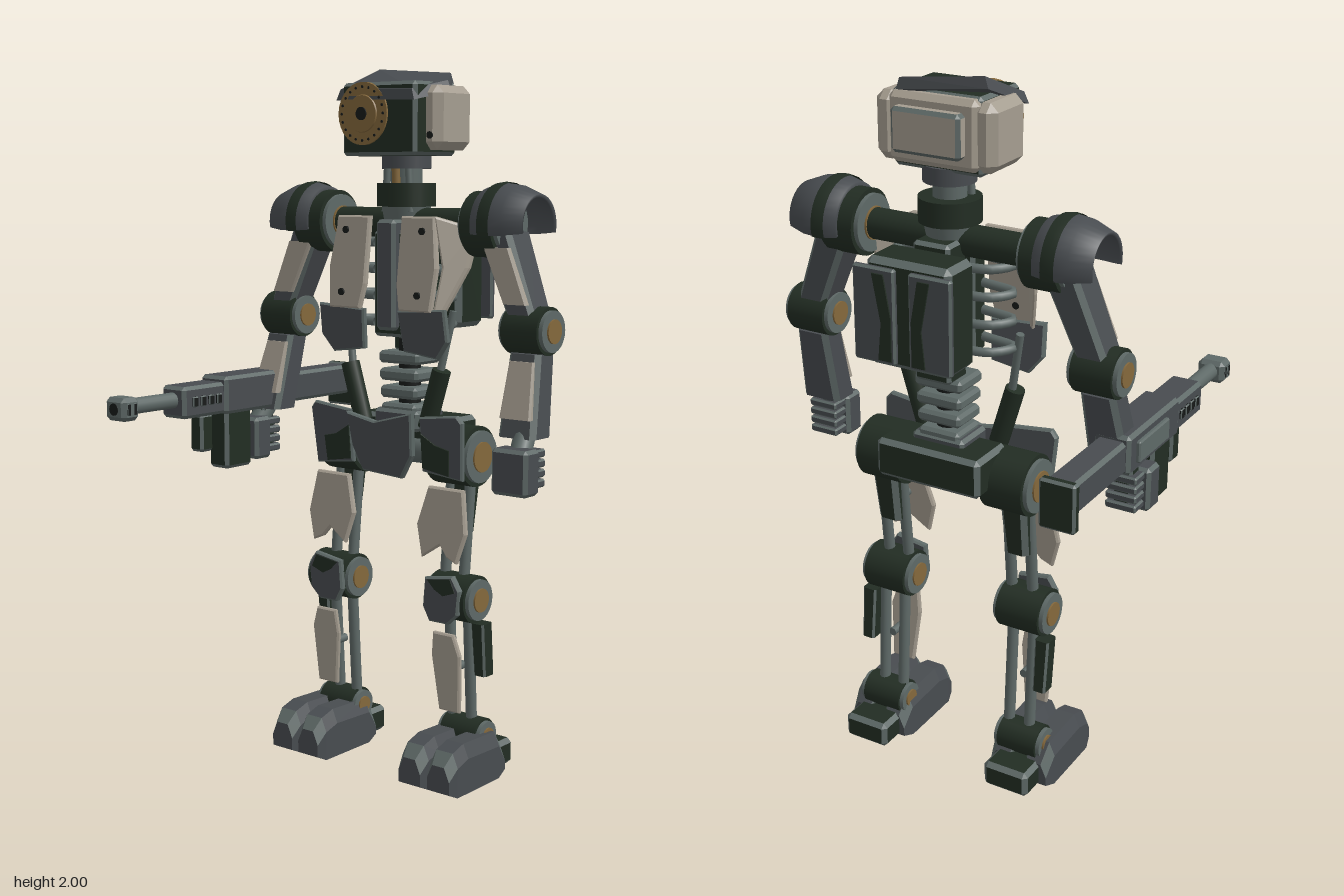
import * as THREE from 'three';
import { ConvexGeometry } from 'three/addons/geometries/ConvexGeometry.js';

const paint = (name, color) => {
  const m = new THREE.MeshStandardMaterial({ color, side: THREE.DoubleSide });
  m.name = name;
  return m;
};
const cream = paint('cream armour', 0xa59d90);
const gray = paint('slate armour', 0x484c50);
const green = paint('dark green', 0x222d23);
const steel = paint('edge steel', 0x5e6967);
const bronze = paint('bronze', 0x84683c);
const black = paint('black', 0x171a19);

export function createModel() {
  const model = new THREE.Group();
  const V = (p) => new THREE.Vector3(...p);

  function add(name, geo, mat, pos = [0, 0, 0], parent = model) {
    const m = new THREE.Mesh(geo, mat);
    m.name = name;
    m.position.set(...pos);
    parent.add(m);
    return m;
  }
  // Convex solid whose oblique chamfers take the trim colour
  function hull(name, pts, mat, trim = steel) {
    const p = new ConvexGeometry(pts).getAttribute('position');
    const main = [], edge = [], t = new THREE.Triangle(), n = new THREE.Vector3();
    for (let i = 0; i < p.count; i += 3) {
      t.setFromAttributeAndIndices(p, i, i + 1, i + 2).getNormal(n);
      const flat = Math.max(Math.abs(n.x), Math.abs(n.y), Math.abs(n.z)) > 0.77;
      for (const v of [t.a, t.b, t.c]) (flat ? main : edge).push(v.x, v.y, v.z);
    }
    const g = new THREE.BufferGeometry();
    g.setAttribute('position', new THREE.Float32BufferAttribute([...main, ...edge], 3));
    g.computeVertexNormals();
    g.addGroup(0, main.length / 3, 0);
    g.addGroup(main.length / 3, edge.length / 3, 1);
    return add(name, g, [mat, trim]);
  }
  // Chamfered box from x, y and z ranges
  function box(name, xr, yr, zr, mat, trim = steel, b = 0.01) {
    const c = [xr, yr, zr].map((r) => (r[0] + r[1]) / 2);
    const h = [xr, yr, zr].map((r) => Math.abs(r[1] - r[0]) / 2);
    const pts = [];
    for (let k = 0; k < 3; k++)
      for (const i of [-1, 1]) for (const j of [-1, 1]) for (const l of [-1, 1])
        pts.push(V([i, j, l].map((s, a) => c[a] + s * (h[a] - (a === k ? 0 : b)))));
    return hull(name, pts, mat, trim);
  }
  // Tapered limb between two points; sizes are half width and half depth
  function limb(name, a, b, wa, wb, mat, trim = steel, c = 0.014) {
    const pts = [];
    for (const [p, [w, d]] of [[a, wa], [b, wb]])
      for (const i of [-1, 1]) for (const k of [-1, 1])
        pts.push(V([p[0] + i * w, p[1], p[2] + k * (d - c)]), V([p[0] + i * (w - c), p[1], p[2] + k * d]));
    return hull(name, pts, mat, trim);
  }
  function rod(name, a, b, r, mat, r2 = r, sides = 16) {
    const p = V(a), q = V(b), d = q.clone().sub(p);
    const m = add(name, new THREE.CylinderGeometry(r2, r, d.length(), sides), mat, p.clone().add(q).multiplyScalar(0.5).toArray());
    m.quaternion.setFromUnitVectors(new THREE.Vector3(0, 1, 0), d.normalize());
    return m;
  }
  // Armour plate from a front outline, its front at z, sloped by dz(x, y)
  function plate(name, outline, z, depth, mat, dz = () => 0, trim = steel) {
    const b = Math.min(0.005, depth / 4);
    const g = new THREE.ExtrudeGeometry(new THREE.Shape(outline.map((p) => new THREE.Vector2(...p))),
      { depth: depth - 2 * b, bevelThickness: b, bevelSize: b, bevelOffset: -b, bevelSegments: 1 });
    const p = g.getAttribute('position');
    for (let i = 0; i < p.count; i++) p.setZ(i, p.getZ(i) + z - depth + b + dz(p.getX(i), p.getY(i)));
    g.computeVertexNormals();
    return add(name, g, [mat, trim]);
  }
  // Joint drum along x with steel rims and bronze caps
  function joint(name, x0, x1, y, z, r) {
    const [a, b] = [Math.min(x0, x1), Math.max(x0, x1)];
    rod(name, [a + 0.012, y, z], [b - 0.012, y, z], r, green, r, 28);
    rod(name + 'Rims', [a, y, z], [b, y, z], r * 0.86, steel, r * 0.86, 28);
    rod(name + 'Caps', [a - 0.005, y, z], [b + 0.005, y, z], r * 0.5, bronze, r * 0.5, 24);
  }

  // Head
  box('skull', [-0.13, 0.13], [1.755, 1.955], [-0.26, -0.07], green);
  for (const s of [-1, 1]) {
    box('cheekPanel', [s * 0.11, s * 0.175], [1.77, 1.945], [-0.28, -0.115], cream, cream, 0.022);
    rod('cheekBolt', [s * 0.145, 1.81, -0.13], [s * 0.145, 1.81, -0.112], 0.01, black);
  }
  box('skullRear', [-0.13, 0.13], [1.77, 1.95], [-0.285, -0.2], cream, cream, 0.015);
  box('rearPanel', [-0.1, 0.1], [1.805, 1.92], [-0.32, -0.28], cream);
  rod('eyeRim', [-0.05, 1.87, -0.1], [-0.05, 1.87, -0.064], 0.086, bronze, 0.086, 28);
  rod('eyeIris', [-0.05, 1.87, -0.07], [-0.05, 1.87, -0.06], 0.055, bronze, 0.05, 28);
  rod('eyePupil', [-0.05, 1.87, -0.07], [-0.05, 1.87, -0.056], 0.018, black);
  for (let i = 0; i < 20; i++) {
    const a = (i / 20) * Math.PI * 2;
    const [x, y] = [-0.05 + 0.073 * Math.cos(a), 1.87 + 0.073 * Math.sin(a)];
    rod('eyeNotch', [x, y, -0.066], [x, y, -0.062], 0.004, black, 0.004, 6);
  }
  // Brow visor, sloping down to the front and rolled to one side
  const brow = [[-0.165, -0.09, 1.925], [-0.1, -0.063, 1.925], [0.13, -0.063, 1.918], [0.155, -0.2, 1.945], [0.1, -0.285, 1.97], [-0.13, -0.23, 1.985]];
  hull('browVisor', brow.flatMap(([x, z, y]) => [V([x, y - 0.015, z]), V([x * 0.92, y + 0.015, z * 0.97 - 0.005])]), gray, gray);

  // Neck
  rod('neckPost', [0, 1.55, -0.2], [0, 1.77, -0.2], 0.045, steel);
  rod('neckCable', [0, 1.6, -0.155], [0, 1.77, -0.15], 0.012, bronze);
  rod('neckCap', [0, 1.72, -0.2], [0, 1.765, -0.2], 0.07, gray, 0.07, 24);
  rod('neckCollar', [0, 1.615, -0.2], [0, 1.68, -0.2], 0.083, green, 0.083, 28);
  rod('neckBase', [0, 1.57, -0.2], [0, 1.615, -0.2], 0.062, steel, 0.07, 24);
  for (const s of [-1, 1]) rod('neckRod', [s * 0.045, 1.6, -0.16], [s * 0.035, 1.76, -0.16], 0.01, steel);

  // Torso core, spine and backpack
  box('sternum', [-0.034, 0.034], [1.27, 1.58], [-0.16, -0.1], gray);
  box('sternumBacking', [-0.062, 0.062], [1.25, 1.55], [-0.19, -0.125], green);
  box('upperSpine', [-0.055, 0.055], [1.2, 1.58], [-0.3, -0.21], green);
  rod('shoulderAxle', [-0.27, 1.57, -0.2], [0.27, 1.57, -0.2], 0.042, green);
  rod('spineCore', [0, 1.0, -0.22], [0, 1.24, -0.22], 0.032, black);
  for (let i = 0; i < 4; i++)
    box('vertebra', [-0.072 + i * 0.003, 0.072 - i * 0.003], [1.205 - i * 0.05, 1.17 - i * 0.05], [-0.275, -0.16], steel, steel, 0.009);
  box('backpack', [-0.125, 0.125], [1.27, 1.56], [-0.41, -0.285], green, steel, 0.016);
  for (const s of [-1, 1]) {
    box('backpackPanel', [s * 0.02, s * 0.145], [1.29, 1.545], [-0.437, -0.418], gray, steel, 0.006);
    const camo = [[0.03, 1.3], [0.07, 1.3], [0.06, 1.4], [0.085, 1.53], [0.05, 1.53], [0.03, 1.42]].map(([x, y]) => [s * x, y]);
    plate('panelCamo', camo, -0.436, 0.004, green, undefined, green);
    rod('panelMount', [s * 0.08, 1.42, -0.42], [s * 0.08, 1.42, -0.4], 0.02, steel);
    for (let i = 0; i < 4; i++) {
      const y = 1.29 + i * 0.075;
      const rib = new THREE.CatmullRomCurve3([V([s * 0.04, y, -0.25]), V([s * 0.14, y, -0.23]), V([s * 0.17, y, -0.17]), V([s * 0.06, y, -0.14])]);
      add('rib', new THREE.TubeGeometry(rib, 14, 0.013, 8), steel);
    }
  }

  // Pelvis
  box('pelvisBlock', [-0.16, 0.16], [0.91, 1.02], [-0.335, -0.18], green, steel, 0.013);
  rod('hipAxle', [-0.22, 0.925, -0.2], [0.22, 0.925, -0.2], 0.04, steel);
  box('waistBase', [-0.08, 0.08], [0.98, 1.04], [-0.28, -0.15], gray);
  plate('loinPlate', [[-0.13, 1.03], [-0.03, 1.01], [0.105, 1.045], [0.095, 0.92], [0.05, 0.85], [-0.09, 0.86], [-0.12, 0.93]], -0.09, 0.025, gray, (x, y) => (y - 1) * 0.15);

  for (const s of [-1, 1]) {
    const X = (list) => list.map(([x, y]) => [s * x, y]);
    // Chest armour
    const slope = (x, y) => (1.45 - y) * 0.12;
    plate('chestPlate', X([[0.056, 1.59], [0.17, 1.59], [0.19, 1.45], [0.18, 1.33], [0.07, 1.33], [0.056, 1.4]]), -0.085, 0.022, cream, slope, cream);
    plate('chestSide', X([[0.17, 1.59], [0.25, 1.555], [0.238, 1.45], [0.2, 1.33], [0.18, 1.33], [0.19, 1.45]]), -0.085, 0.022, cream,
      (x, y) => slope(x, y) - (Math.abs(x) - 0.17) * 1.2, cream);
    for (const y of [1.55, 1.375]) rod('chestBolt', [s * 0.135, y, -0.1], [s * 0.135, y, -0.079 + slope(0, y)], 0.01, black);
    plate('bellyPlate', X([[0.06, 1.33], [0.222, 1.34], [0.225, 1.25], [0.185, 1.2], [0.07, 1.215]]), -0.078, 0.022, gray, (x, y) => (y - 1.33) * 0.15);
    // Waist pistons
    rod('waistPistonRod', [s * 0.19, 1.33, -0.17], [s * 0.15, 1.12, -0.15], 0.011, steel);
    rod('waistPiston', [s * 0.165, 1.165, -0.15], [s * 0.115, 1.0, -0.15], 0.027, green);

    // Shoulder and its flared guard
    joint('shoulder', s * 0.235, s * 0.36, 1.57, -0.2, 0.09);
    const guard = (name, prof, mat) => {
      const start = s < 0 ? -0.25 : Math.PI - 0.25;
      const g = new THREE.LatheGeometry(prof.map((p) => new THREE.Vector2(...p)), 20, start, Math.PI + 0.5);
      g.rotateZ(-s * Math.PI / 2);
      add(name, g, mat, [0, 1.57, -0.2]);
    };
    guard('shoulderGuard', [[0.088, 0.29], [0.1, 0.29], [0.112, 0.34], [0.106, 0.39], [0.083, 0.448], [0.073, 0.444], [0.095, 0.38], [0.1, 0.34], [0.088, 0.29]], gray);
    guard('shoulderStripe', [[0.112, 0.32], [0.115, 0.34], [0.113, 0.358]], green);

    // Arm
    limb('upperArm', [s * 0.335, 1.55, -0.2], [s * 0.425, 1.33, -0.19], [0.052, 0.055], [0.046, 0.05], gray);
    limb('upperArmPlate', [s * 0.35, 1.51, -0.148], [s * 0.415, 1.36, -0.145], [0.042, 0.012], [0.038, 0.012], cream, cream, 0.005);
    joint('elbow', s * 0.365, s * 0.505, 1.29, -0.19, 0.066);
    limb('forearm', [s * 0.44, 1.23, -0.185], [s * 0.455, 1.01, -0.13], [0.05, 0.042], [0.06, 0.045], gray);
    limb('forearmPlate', [s * 0.44, 1.21, -0.145], [s * 0.45, 1.06, -0.1], [0.04, 0.012], [0.05, 0.012], cream, cream, 0.005);
    rod('wrist', [s * 0.465, 1.02, -0.12], [s * 0.475, 0.96, -0.08], 0.03, steel);
    box('hand', [s * 0.42, s * 0.535], [0.865, 0.99], [-0.09, -0.022], gray);
    for (let i = 0; i < 4; i++)
      box('finger', [s * 0.43, s * 0.52], [0.88 + i * 0.027, 0.902 + i * 0.027], [-0.14, -0.085], gray, steel, 0.005);

    // Hip and thigh
    joint('hip', s * 0.12, s * 0.27, 0.925, -0.2, 0.086);
    const hipZ = (x, y) => (y - 1) * 0.1;
    plate('hipPlate', X([[0.125, 1.035], [0.255, 1.05], [0.272, 1.03], [0.262, 0.865], [0.125, 0.88]]), -0.1, 0.02, gray, hipZ);
    plate('hipCamo', X([[0.13, 0.89], [0.22, 0.875], [0.225, 0.95], [0.18, 0.96], [0.13, 0.99]]), -0.097, 0.005, green, hipZ, green);
    for (const x of [0.17, 0.235]) {
      rod('thighRod', [s * x, 0.9, -0.2], [s * x, 0.54, -0.165], 0.016, steel);
      rod('shinRod', [s * (x + 0.01), 0.52, -0.175], [s * (x + 0.01), 0.13, -0.2], 0.016, steel);
    }
    limb('thighPiston', [s * 0.205, 0.86, -0.215], [s * 0.205, 0.71, -0.195], [0.04, 0.024], [0.036, 0.022], green);
    const thighZ = (x, y) => (0.84 - y) * 0.12;
    plate('thighPlate', X([[0.145, 0.84], [0.265, 0.84], [0.285, 0.72], [0.26, 0.635], [0.225, 0.65], [0.2, 0.68], [0.14, 0.64], [0.115, 0.73]]), -0.115, 0.02, cream, thighZ, cream);
    rod('thighBracket', [s * 0.2, 0.76, -0.2], [s * 0.2, 0.76, -0.12], 0.014, steel);

    // Knee and shin
    joint('knee', s * 0.14, s * 0.295, 0.525, -0.165, 0.068);
    const kneeOutline = [[0.155, 0.585], [0.25, 0.6], [0.275, 0.56], [0.268, 0.49], [0.235, 0.46], [0.17, 0.46], [0.148, 0.5]];
    plate('kneePlate', X(kneeOutline), -0.088, 0.022, gray);
    plate('kneeCamo', X([[0.165, 0.58], [0.245, 0.592], [0.262, 0.555], [0.22, 0.54], [0.19, 0.555]]), -0.086, 0.004, green, undefined, green);
    const shinZ = (x, y) => (y - 0.42) * 0.08;
    plate('shinPlate', X([[0.18, 0.43], [0.25, 0.43], [0.27, 0.37], [0.26, 0.2], [0.19, 0.2], [0.172, 0.36]]), -0.095, 0.018, cream, shinZ, cream);
    rod('shinBracket', [s * 0.22, 0.32, -0.19], [s * 0.22, 0.32, -0.105], 0.012, steel);
    limb('calfBlock', [s * 0.285, 0.455, -0.185], [s * 0.285, 0.3, -0.2], [0.022, 0.024], [0.02, 0.024], green, steel, 0.006);

    // Ankle and foot
    joint('ankle', s * 0.155, s * 0.3, 0.12, -0.2, 0.05);
    box('heel', [s * 0.165, s * 0.305], [0.008, 0.085], [-0.325, -0.18], green, steel, 0.013);
    for (const x of [0.188, 0.288]) {
      const pts = [];
      for (const [z, y0, y1, w] of [[0.02, 0.015, 0.09, 0.038], [-0.01, 0, 0.125, 0.046], [-0.06, 0, 0.14, 0.046], [-0.21, 0, 0.135, 0.046], [-0.25, 0.015, 0.08, 0.04]])
        for (const i of [-1, 1]) pts.push(V([s * x + i * w, y0, z]), V([s * x + i * w, y1 - 0.04, z]), V([s * x + i * (w - 0.018), y1, z]));
      hull('toe', pts, gray);
    }
  }

  // Rifle carried in the right hand
  const gx = -0.473;
  const gun = (name, w, yr, zr, mat, b) => box(name, [gx - w, gx + w], yr, zr, mat, steel, b);
  rod('barrel', [gx, 1.07, 0.26], [gx, 1.07, 0.44], 0.023, steel);
  gun('muzzle', 0.04, [1.035, 1.1], [0.43, 0.493], steel, 0.012);
  rod('bore', [gx, 1.068, 0.48], [gx, 1.068, 0.4945], 0.017, black);
  for (const z of [0.45, 0.473]) gun('muzzleSlot', 0.0415, [1.052, 1.084], [z - 0.006, z + 0.006], black, 0.001);
  gun('handguard', 0.047, [1.018, 1.11], [0.1, 0.27], gray);
  for (let i = 0; i < 4; i++) gun('handguardVent', 0.053, [1.05, 1.08], [0.12 + i * 0.032, 0.142 + i * 0.032], black, 0.003);
  gun('receiver', 0.053, [1.015, 1.125], [-0.2, 0.105], gray);
  gun('stock', 0.042, [1.02, 1.11], [-0.475, -0.19], gray);
  gun('buttPlate', 0.051, [0.98, 1.115], [-0.493, -0.465], green, 0.007);
  gun('foregrip', 0.025, [0.91, 1.02], [0.13, 0.18], green, 0.008);
  gun('magazine', 0.038, [0.85, 1.025], [-0.02, 0.09], green);
  gun('pistolGrip', 0.028, [0.88, 1.02], [-0.13, -0.08], green, 0.008);
  box('chargingBar', [-0.537, -0.52], [1.04, 1.1], [-0.16, 0.02], steel, steel, 0.004);
  return model;
}
